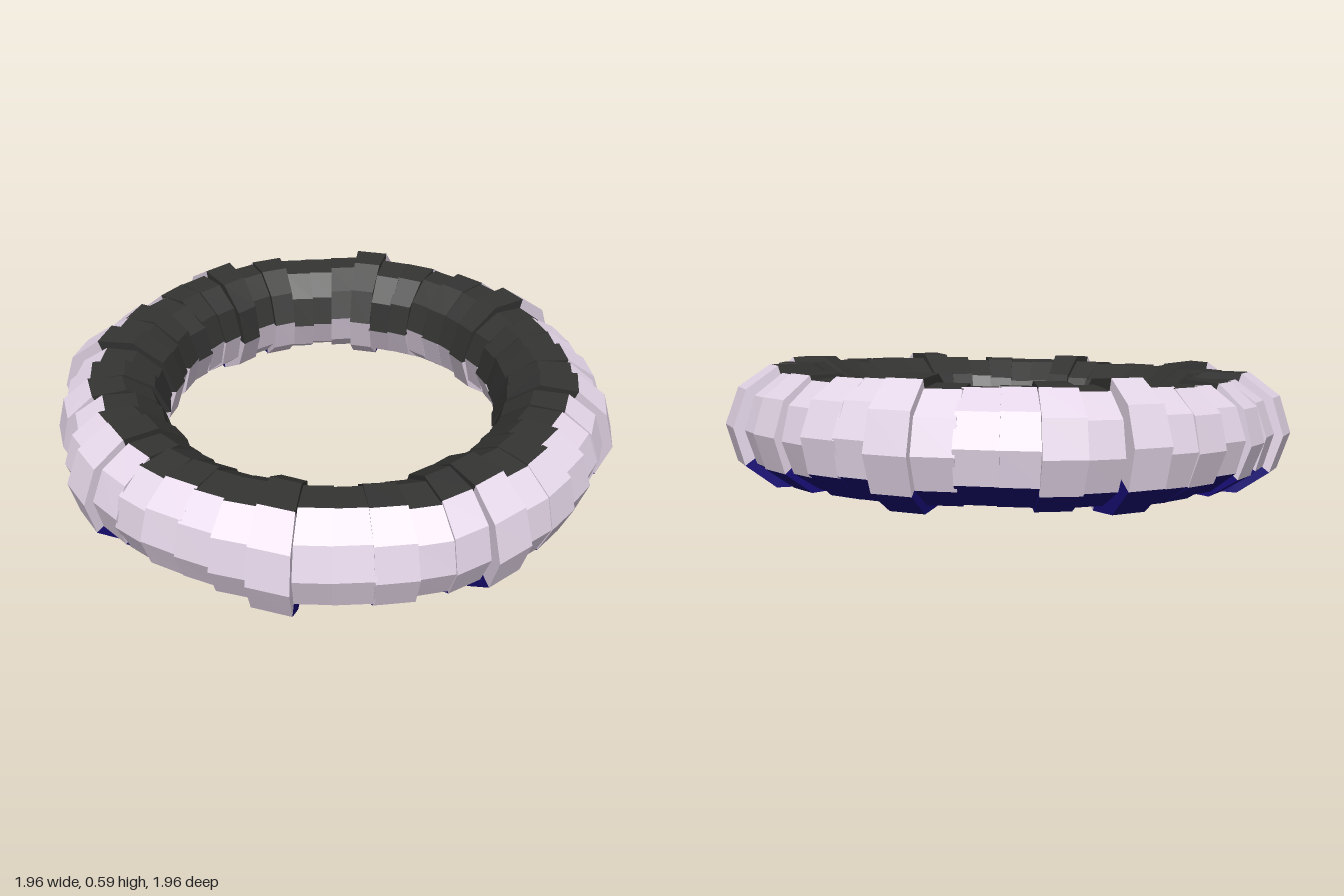
import * as THREE from 'three';

const COUNT = 48;      // wedge blocks around the ring
const SIDES = 10;      // sides of the tube section
const RING = 0.77;     // ring radius
const TUBE = 0.185;    // tube radius

// Small seeded generator, returns -1..1
function seeded(seed) {
  let s = seed;
  return () => {
    s = (s * 16807) % 2147483647;
    return (s / 2147483647) * 2 - 1;
  };
}

// Colour bands by tube facet, counted from the outer rim upwards
const BANDS = [
  { name: 'paleBands', color: 0xe4d6e8, facets: [0, 1, 5, 6, 9] },
  { name: 'darkTop', color: 0x333332, facets: [2, 3, 4] },
  { name: 'navyUnderside', color: 0x180e78, facets: [7, 8] },
];

// Blocks with slight irregularities; every sixth one is enlarged
function makeBlocks() {
  const rand = seeded(4217);
  const blocks = [];
  for (let k = 0; k < COUNT; k++) {
    const big = k % 6 === 1;
    const a0 = (k / COUNT) * Math.PI * 2;
    blocks.push({
      a0: a0 - 0.004,
      a1: a0 + (Math.PI * 2) / COUNT + 0.004,
      ring: RING + (big ? 0.01 : rand() * 0.006),
      tube: big ? 0.208 : TUBE + rand() * 0.008,
      skew: rand() * 0.008,
      roll: rand() * 0.1,
    });
  }
  return blocks;
}

// One colour of every block: outer facets plus matching slices of the end caps
function bandGeometry(blocks, facets) {
  const pos = [];
  const tri = (...pts) => pts.forEach((p) => pos.push(...p));
  for (const b of blocks) {
    const point = (end, t, s) => {
      const a = end ? b.a1 : b.a0;
      const r = b.ring + (end ? b.skew : -b.skew) + s * Math.cos(t);
      return [r * Math.cos(a), s * Math.sin(t), r * Math.sin(a)];
    };
    for (const f of facets) {
      const t0 = (f / SIDES) * Math.PI * 2 + b.roll;
      const t1 = t0 + (Math.PI * 2) / SIDES;
      const p00 = point(0, t0, b.tube), p01 = point(0, t1, b.tube);
      const p10 = point(1, t0, b.tube), p11 = point(1, t1, b.tube);
      tri(p00, p01, p11);
      tri(p00, p11, p10);
      tri(point(0, 0, 0), p01, p00);
      tri(point(1, 0, 0), p10, p11);
    }
  }
  const geo = new THREE.BufferGeometry();
  geo.setAttribute('position', new THREE.Float32BufferAttribute(pos, 3));
  geo.computeVertexNormals();
  return geo;
}

export function createModel() {
  const model = new THREE.Group();
  model.name = 'segmentedRing';

  // Ring tilted so that the back sits higher
  const ring = new THREE.Group();
  ring.name = 'tiltedRing';
  ring.rotation.x = 0.118;
  ring.position.y = 0.29;
  model.add(ring);

  const blocks = makeBlocks();
  for (const { name, color, facets } of BANDS) {
    const material = new THREE.MeshStandardMaterial({ color, flatShading: true });
    const mesh = new THREE.Mesh(bandGeometry(blocks, facets), material);
    mesh.name = name;
    ring.add(mesh);
  }
  return model;
}
